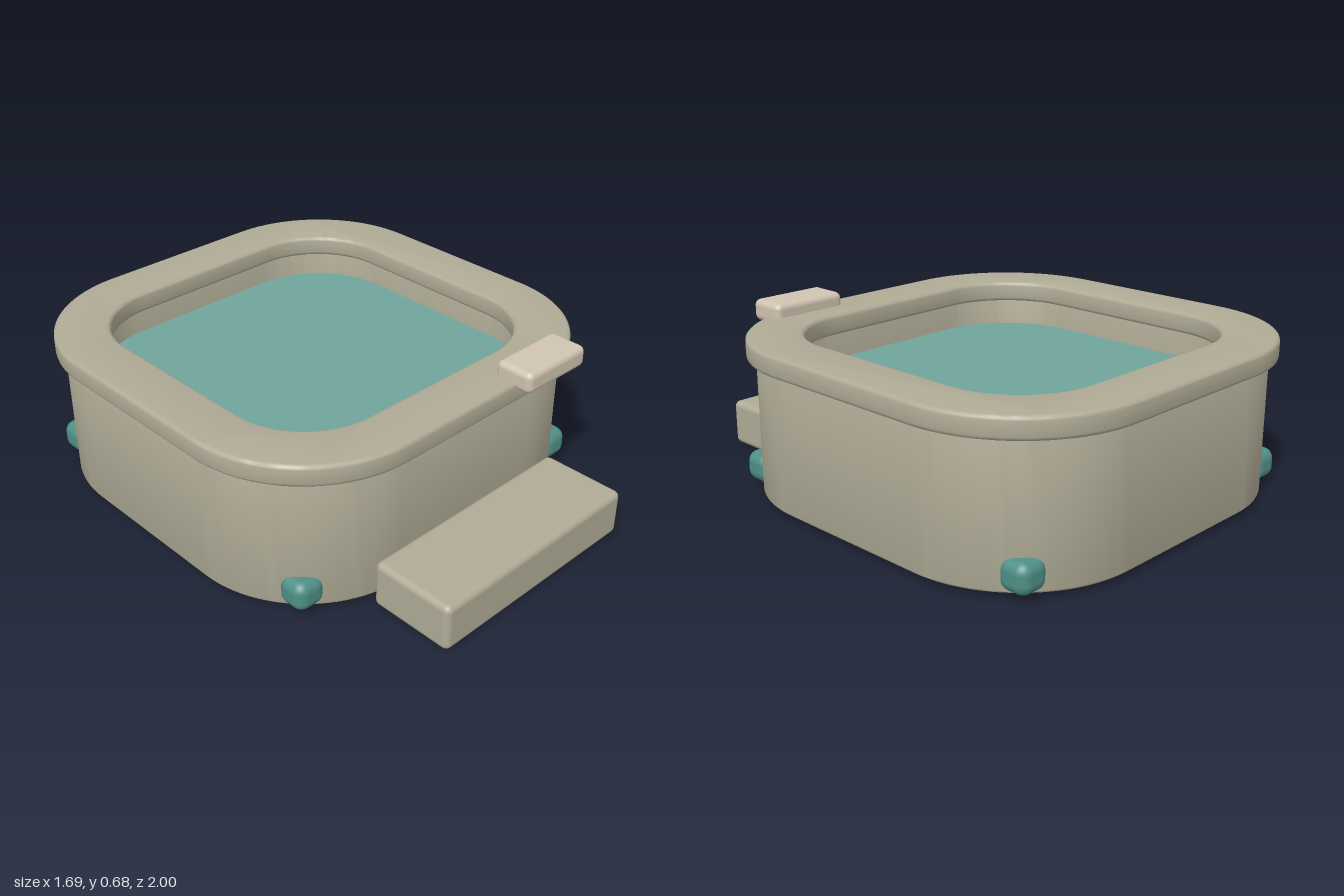
import * as THREE from 'three';
import { RoundedBoxGeometry } from 'three/addons/geometries/RoundedBoxGeometry.js';
import { toCreasedNormals } from 'three/addons/utils/BufferGeometryUtils.js';

const CENTER_Z = -0.157; // middle of the tub; the step sits in front of it

const shellMat = new THREE.MeshStandardMaterial({ color: 0xb0ab96 });
const waterMat = new THREE.MeshStandardMaterial({ color: 0x6fa59c });
const lightMat = new THREE.MeshStandardMaterial({ color: 0x4f8f86 });
const pillowMat = new THREE.MeshStandardMaterial({ color: 0xd0c3b0 });

// Square outline with half-width h and corner radius r
function roundedSquare(h, r, Type = THREE.Shape) {
  const k = h - r;
  const s = new Type();
  s.moveTo(-k, -h);
  s.lineTo(k, -h);
  s.absarc(k, -k, r, -Math.PI / 2, 0);
  s.lineTo(h, k);
  s.absarc(k, k, r, 0, Math.PI / 2);
  s.lineTo(-k, h);
  s.absarc(-k, k, r, Math.PI / 2, Math.PI);
  s.lineTo(-h, -k);
  s.absarc(-k, -k, r, Math.PI, Math.PI * 1.5);
  return s;
}

// Upright slab between y0 and y1, optionally with a hole [half-width, radius]
function slab(name, mat, h, r, y0, y1, bevel, hole) {
  const shape = roundedSquare(h, r);
  if (hole) shape.holes.push(roundedSquare(hole[0], hole[1], THREE.Path));
  const geo = new THREE.ExtrudeGeometry(shape, {
    depth: y1 - y0 - 2 * bevel,
    bevelEnabled: bevel > 0,
    bevelThickness: bevel,
    bevelSize: bevel,
    bevelOffset: -bevel,
    bevelSegments: 3,
    curveSegments: 12,
  });
  geo.rotateX(-Math.PI / 2);
  geo.translate(0, y0 + bevel, CENTER_Z);
  const mesh = new THREE.Mesh(toCreasedNormals(geo, 0.6), mat);
  mesh.name = name;
  return mesh;
}

function softBox(name, mat, size, position, radius) {
  const mesh = new THREE.Mesh(new RoundedBoxGeometry(...size, 4, radius), mat);
  mesh.name = name;
  mesh.position.set(...position);
  return mesh;
}

export function createModel() {
  const model = new THREE.Group();
  model.name = 'hotTub';

  // Tub wall, overhanging rim and water filling the inside
  model.add(
    slab('tubWall', shellMat, 0.815, 0.49, 0.022, 0.55, 0.008, [0.68, 0.355]),
    slab('rim', shellMat, 0.843, 0.5, 0.54, 0.622, 0.015, [0.635, 0.31]),
    slab('water', waterMat, 0.682, 0.357, 0.024, 0.43, 0),
  );

  // Entry step and headrest
  model.add(
    softBox('step', shellMat, [0.945, 0.185, 0.34], [0, 0.0925, 0.83], 0.025),
    softBox('headrest', pillowMat, [0.32, 0.085, 0.16], [0.36, 0.633, 0.665], 0.025),
  );

  // Corner lights near the base
  const lights = new THREE.Group();
  lights.name = 'cornerLights';
  for (const sx of [-1, 1]) {
    for (const sz of [-1, 1]) {
      lights.add(softBox('cornerLight', lightMat, [0.125, 0.117, 0.125],
        [sx * 0.662, 0.088, CENTER_Z + sz * 0.662], 0.042));
    }
  }
  model.add(lights);
  return model;
}
